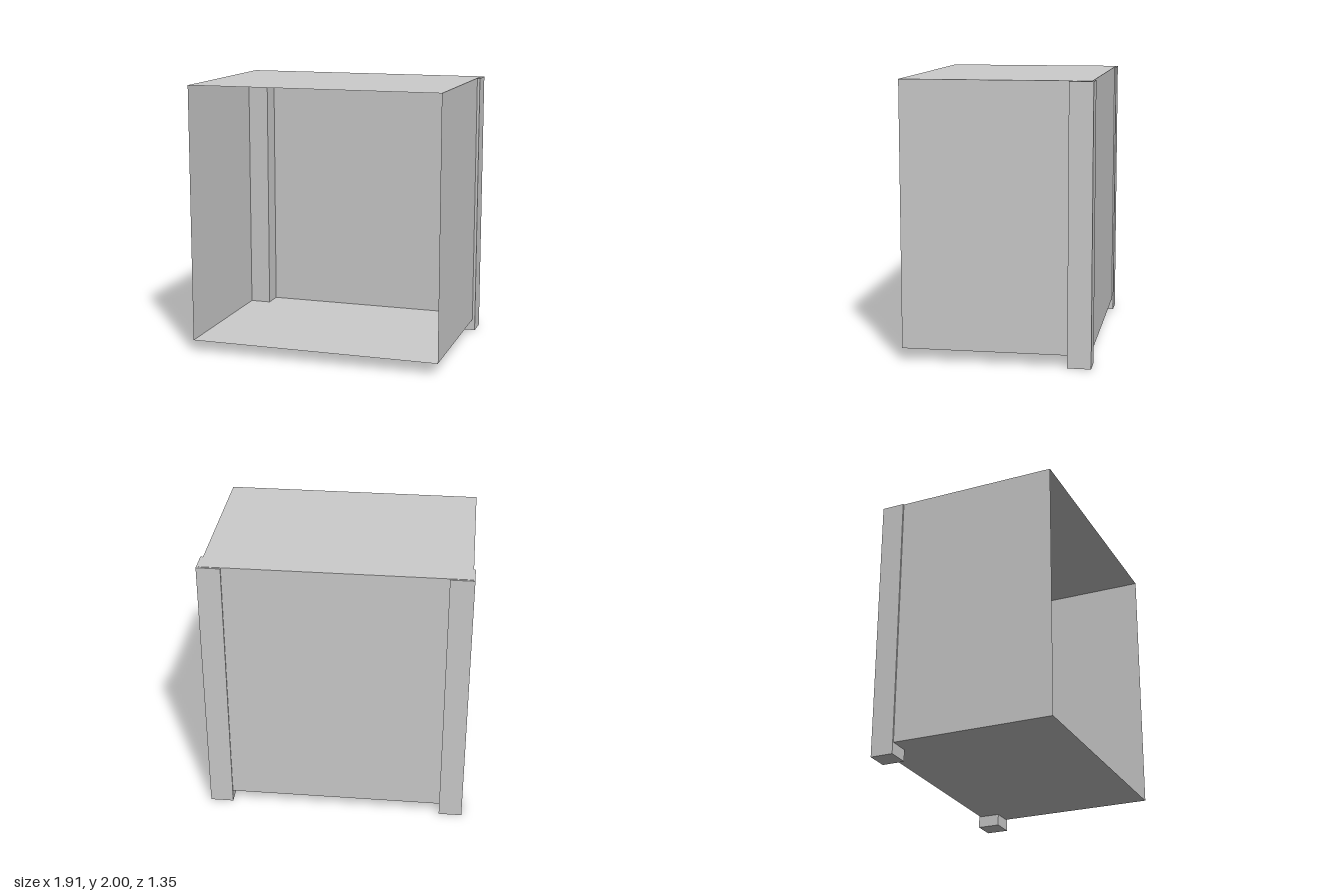
import * as THREE from 'three';

const X0 = -0.943, X1 = 0.935, Y0 = 0.087, Y1 = 2, Z0 = -0.665, Z1 = 0.677;

export function createModel() {
  const group = new THREE.Group();
  const sheet = new THREE.MeshStandardMaterial({ color: 0xcccccc, side: THREE.DoubleSide, flatShading: true });
  const solid = new THREE.MeshStandardMaterial({ color: 0xcccccc, flatShading: true });

  const w = X1 - X0, h = Y1 - Y0, d = Z1 - Z0;
  const cx = (X0 + X1) / 2, cy = (Y0 + Y1) / 2, cz = (Z0 + Z1) / 2;

  // Thin sheet panel of the open-fronted case
  function panel(name, width, height, position, rx = 0, ry = 0) {
    const mesh = new THREE.Mesh(new THREE.PlaneGeometry(width, height), sheet);
    mesh.name = name;
    mesh.position.set(...position);
    mesh.rotation.set(rx, ry, 0);
    group.add(mesh);
  }
  panel('topPanel', w, d, [cx, Y1, cz], -Math.PI / 2);
  panel('floorPanel', w, d, [cx, Y0, cz], Math.PI / 2);
  panel('leftPanel', d, h, [X1, cy, cz], 0, Math.PI / 2);
  panel('rightPanel', d, h, [X0, cy, cz], 0, -Math.PI / 2);
  panel('backPanel', w, h, [cx, cy, Z0], 0, Math.PI);

  // Square posts at the back corners, reaching down to the ground
  const postHeight = 1.997;
  for (const side of [1, -1]) {
    const post = new THREE.Mesh(new THREE.BoxGeometry(0.17, postHeight, 0.168), solid);
    post.name = side > 0 ? 'leftBackPost' : 'rightBackPost';
    post.position.set(side * 0.87, postHeight / 2, -0.593);
    group.add(post);
  }
  return group;
}
